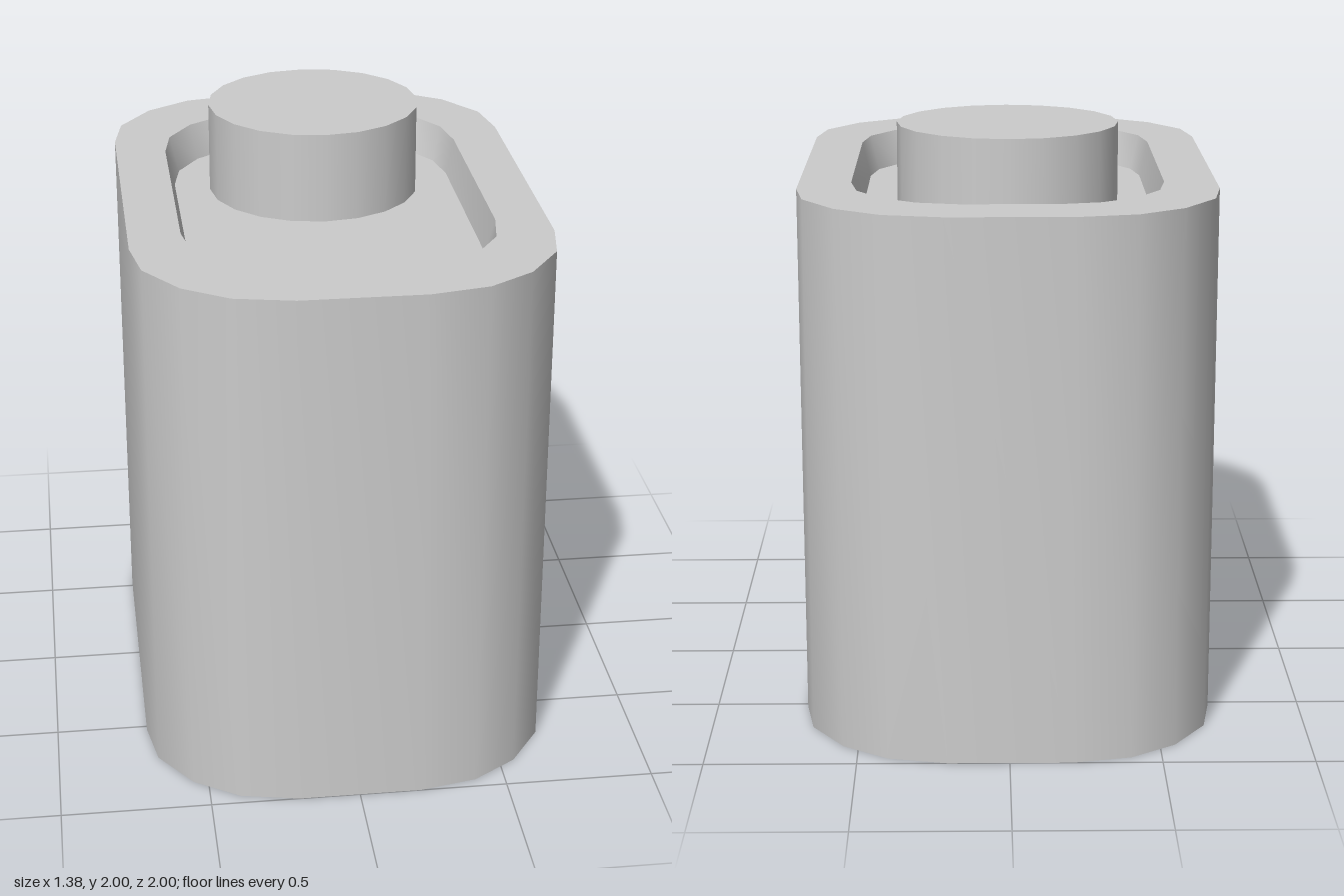
import * as THREE from 'three';
import { toCreasedNormals } from 'three/addons/utils/BufferGeometryUtils.js';

// One corner of each rounded outline, as [x, z] from the side to the front
const OUTER = [[0.69, 0.52], [0.66, 0.7], [0.55, 0.86], [0.4, 0.96], [0.205, 1]];
const RIM = [[0.517, 0.4], [0.493, 0.55], [0.41, 0.68], [0.294, 0.76], [0.158, 0.79]];
const FLOOR = [[0.488, 0.385], [0.463, 0.525], [0.388, 0.645], [0.28, 0.73], [0.15, 0.755]];
const CENTRE = OUTER.map(() => [0, 0]);

const BODY_TOP = 1.81;
const FLOOR_Y = 1.69;

// Mirror the corner into a full closed outline at height y
function ring(corner, y) {
  const back = [...corner].reverse();
  return [
    ...corner.map(([x, z]) => [x, y, z]),
    ...back.map(([x, z]) => [-x, y, z]),
    ...corner.map(([x, z]) => [-x, y, -z]),
    ...back.map(([x, z]) => [x, y, -z]),
  ];
}

// Skin a sequence of rings; a ring shrunk to a point closes an end
function loft(rings) {
  const pos = [];
  for (let r = 0; r < rings.length - 1; r++) {
    const lower = rings[r], upper = rings[r + 1], n = lower.length;
    for (let i = 0; i < n; i++) {
      const j = (i + 1) % n;
      if (r < rings.length - 2) pos.push(...lower[i], ...upper[i], ...upper[j]);
      if (r > 0) pos.push(...lower[i], ...upper[j], ...lower[j]);
    }
  }
  const geometry = new THREE.BufferGeometry();
  geometry.setAttribute('position', new THREE.Float32BufferAttribute(pos, 3));
  return toCreasedNormals(geometry, 0.7);
}

export function createModel() {
  const group = new THREE.Group();
  group.name = 'container';
  const material = new THREE.MeshStandardMaterial({ color: 0xcccccc });

  // Body: base, outer wall, flat rim, sloping recess wall and recess floor
  const body = new THREE.Mesh(loft([
    ring(CENTRE, 0),
    ring(OUTER, 0),
    ring(OUTER, BODY_TOP),
    ring(RIM, BODY_TOP),
    ring(FLOOR, FLOOR_Y),
    ring(CENTRE, FLOOR_Y),
  ]), material);
  body.name = 'body';
  group.add(body);

  // Round cap standing in the recess, towards the back
  const capHeight = 2 - FLOOR_Y;
  const cap = new THREE.Mesh(new THREE.CylinderGeometry(0.367, 0.367, capHeight, 20), material);
  cap.name = 'cap';
  cap.position.set(0, FLOOR_Y + capHeight / 2, -0.325);
  group.add(cap);

  return group;
}
